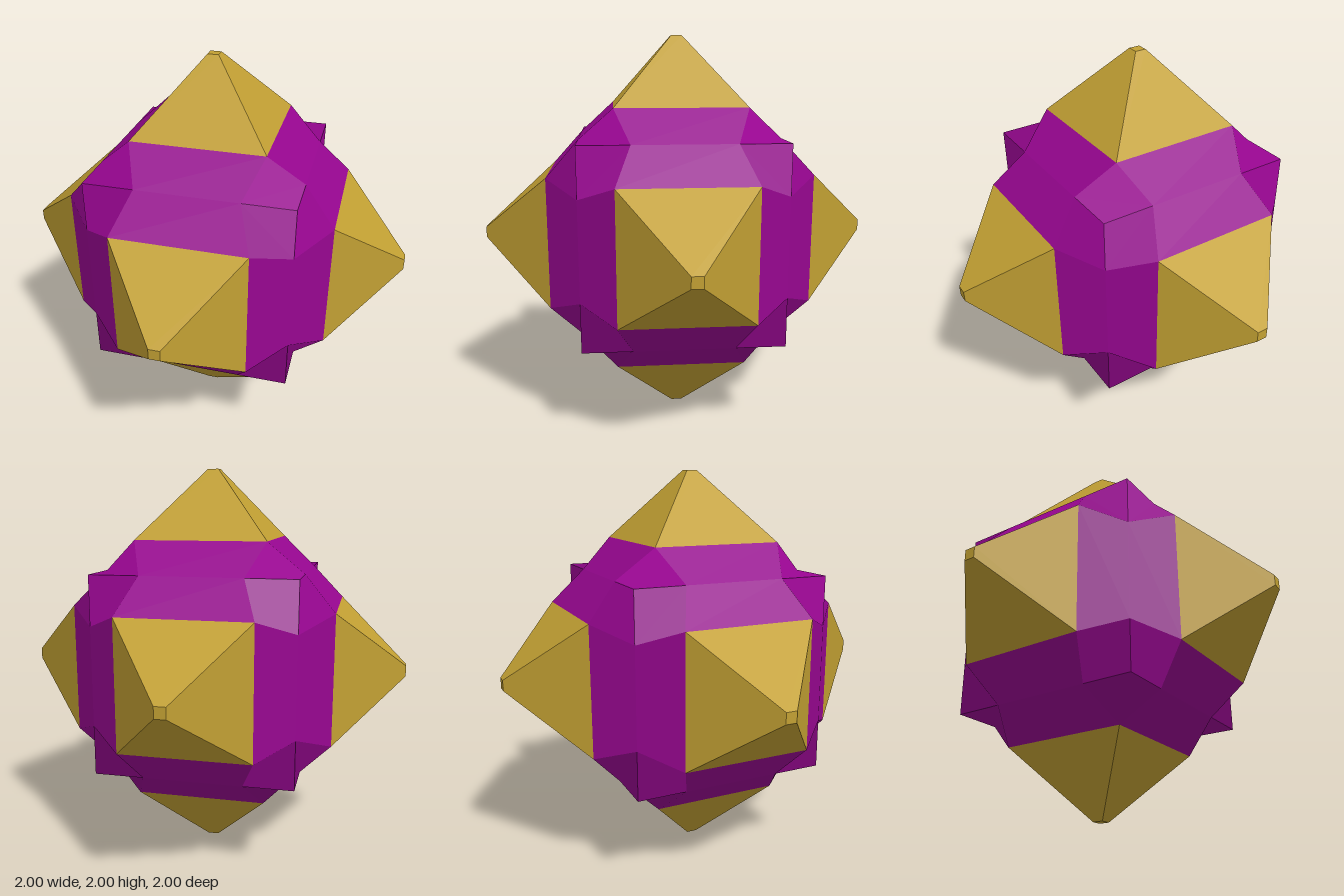
import * as THREE from 'three';

const HALF = 0.5;     // half side of the core cube
const INNER = 0.25;   // where the band meets the corner along a cube edge
const BASE = 0.326;   // half side of a spike base
const BASE_H = 0.655; // distance of a spike base from the centre
const TIP = 0.027;    // half side of the flat spike tip

// Flat-shaded quads: each is four corners, anticlockwise, split from corner 0 to 2
function quadGeometry(quads) {
  const positions = [], normals = [];
  for (const q of quads) {
    const [a, b, c, d] = q.map((p) => new THREE.Vector3(...p));
    const n = c.clone().sub(a).cross(d.clone().sub(b)).normalize();
    for (const p of [a, b, c, a, c, d]) {
      positions.push(p.x, p.y, p.z);
      normals.push(n.x, n.y, n.z);
    }
  }
  const g = new THREE.BufferGeometry();
  g.setAttribute('position', new THREE.Float32BufferAttribute(positions, 3));
  g.setAttribute('normal', new THREE.Float32BufferAttribute(normals, 3));
  return g;
}

// Repeat a quad four times around the z axis
function fourTurns(quad) {
  const turns = [];
  let q = quad;
  for (let i = 0; i < 4; i++) {
    turns.push(q);
    q = q.map(([x, y, z]) => [-y, x, z]);
  }
  return turns;
}

export function createModel() {
  const purple = new THREE.MeshStandardMaterial({ color: 0x970690 });
  purple.name = 'purple';
  const gold = new THREE.MeshStandardMaterial({ color: 0xc2a033 });
  gold.name = 'gold';

  // Half of each sloping band between neighbouring spikes
  const band = quadGeometry(fourTurns([
    [-BASE, BASE, BASE_H], [BASE, BASE, BASE_H], [INNER, HALF, HALF], [-INNER, HALF, HALF],
  ]));
  // One third of each cube corner, folded inwards between the two bands
  const corner = quadGeometry(fourTurns([
    [INNER, HALF, HALF], [BASE, BASE, BASE_H], [HALF, INNER, HALF], [HALF, HALF, HALF],
  ]));
  // Four-sided spike with a small flat tip
  const spike = quadGeometry([
    ...fourTurns([[BASE, BASE, BASE_H], [-BASE, BASE, BASE_H], [-TIP, TIP, 1], [TIP, TIP, 1]]),
    [[-TIP, -TIP, 1], [TIP, -TIP, 1], [TIP, TIP, 1], [-TIP, TIP, 1]],
  ]);

  const model = new THREE.Group();
  model.name = 'spikedCube';
  const q = Math.PI / 2;
  const sides = {
    front: [0, 0], left: [0, q], back: [0, 2 * q], right: [0, -q], top: [-q, 0], bottom: [q, 0],
  };
  for (const [name, [rx, ry]] of Object.entries(sides)) {
    const side = new THREE.Group();
    side.name = name + 'Side';
    for (const [part, geometry, material] of [
      ['Bands', band, purple], ['Corners', corner, purple], ['Spike', spike, gold],
    ]) {
      const mesh = new THREE.Mesh(geometry, material);
      mesh.name = name + part;
      side.add(mesh);
    }
    side.rotation.set(rx, ry, 0);
    side.position.y = 1;
    model.add(side);
  }
  return model;
}
